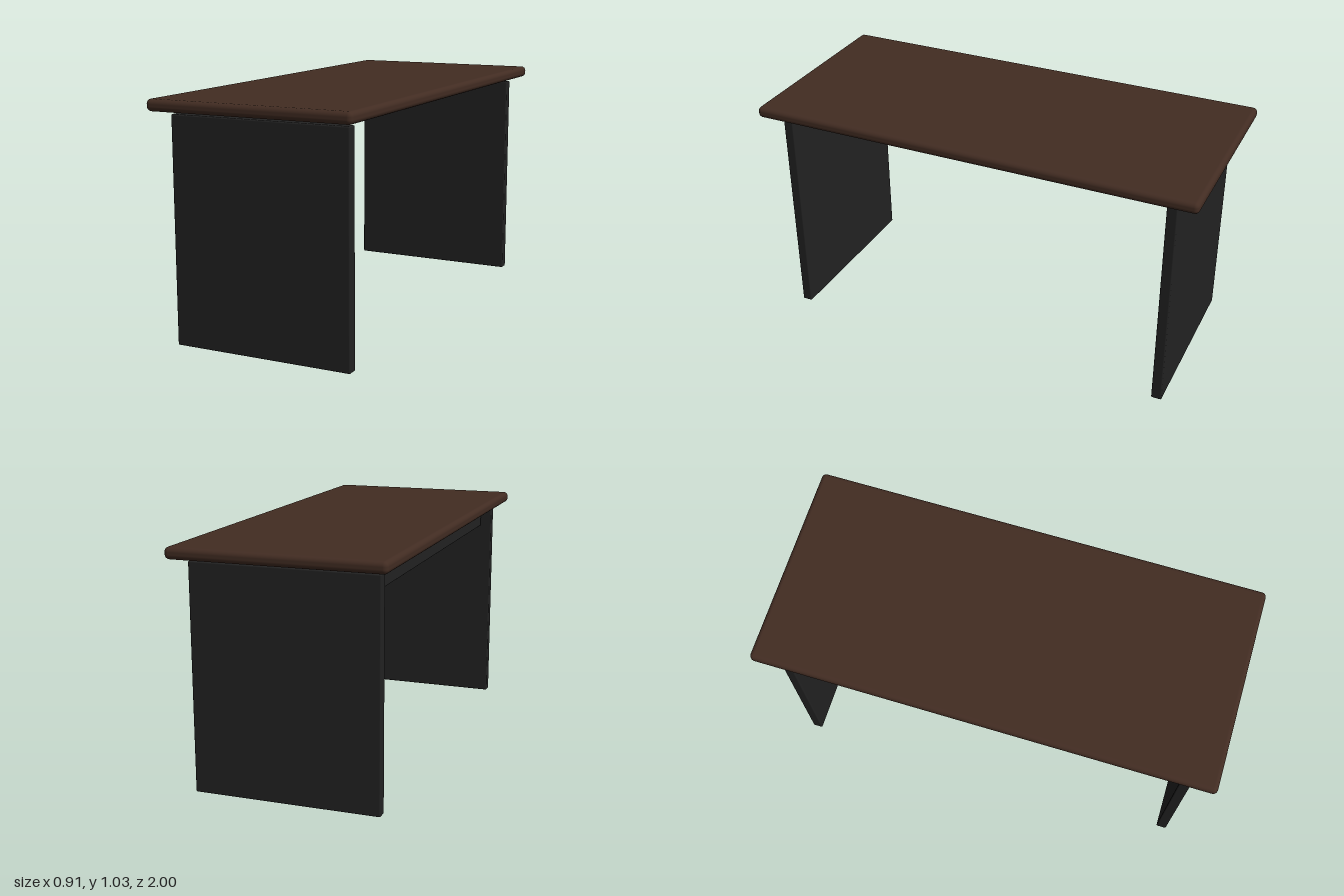
import * as THREE from 'three';
import { RoundedBoxGeometry } from 'three/addons/geometries/RoundedBoxGeometry.js';

export function createModel() {
  const desk = new THREE.Group();
  desk.name = 'desk';
  const wood = new THREE.MeshStandardMaterial({ color: 0x422c22 });
  wood.name = 'dark brown wood';
  const black = new THREE.MeshStandardMaterial({ color: 0x222222 });
  black.name = 'black laminate';

  // Box with softened edges, placed by its centre
  const board = (name, material, size, position, radius) => {
    const mesh = new THREE.Mesh(new RoundedBoxGeometry(...size, 4, radius), material);
    mesh.name = name;
    mesh.position.set(...position);
    desk.add(mesh);
  };

  // Top floats slightly above the supports
  board('tabletop', wood, [0.91, 0.05, 2], [0, 1.01, 0], 0.02);

  // Panel legs at both ends
  board('frontLegPanel', black, [0.8, 0.967, 0.046], [0, 0.4835, 0.882], 0.006);
  board('backLegPanel', black, [0.8, 0.967, 0.046], [0, 0.4835, -0.882], 0.006);

  // Stretcher rail under one long side
  board('stretcherRail', black, [0.046, 0.08, 1.7], [-0.327, 0.916, 0], 0.006);

  return desk;
}
